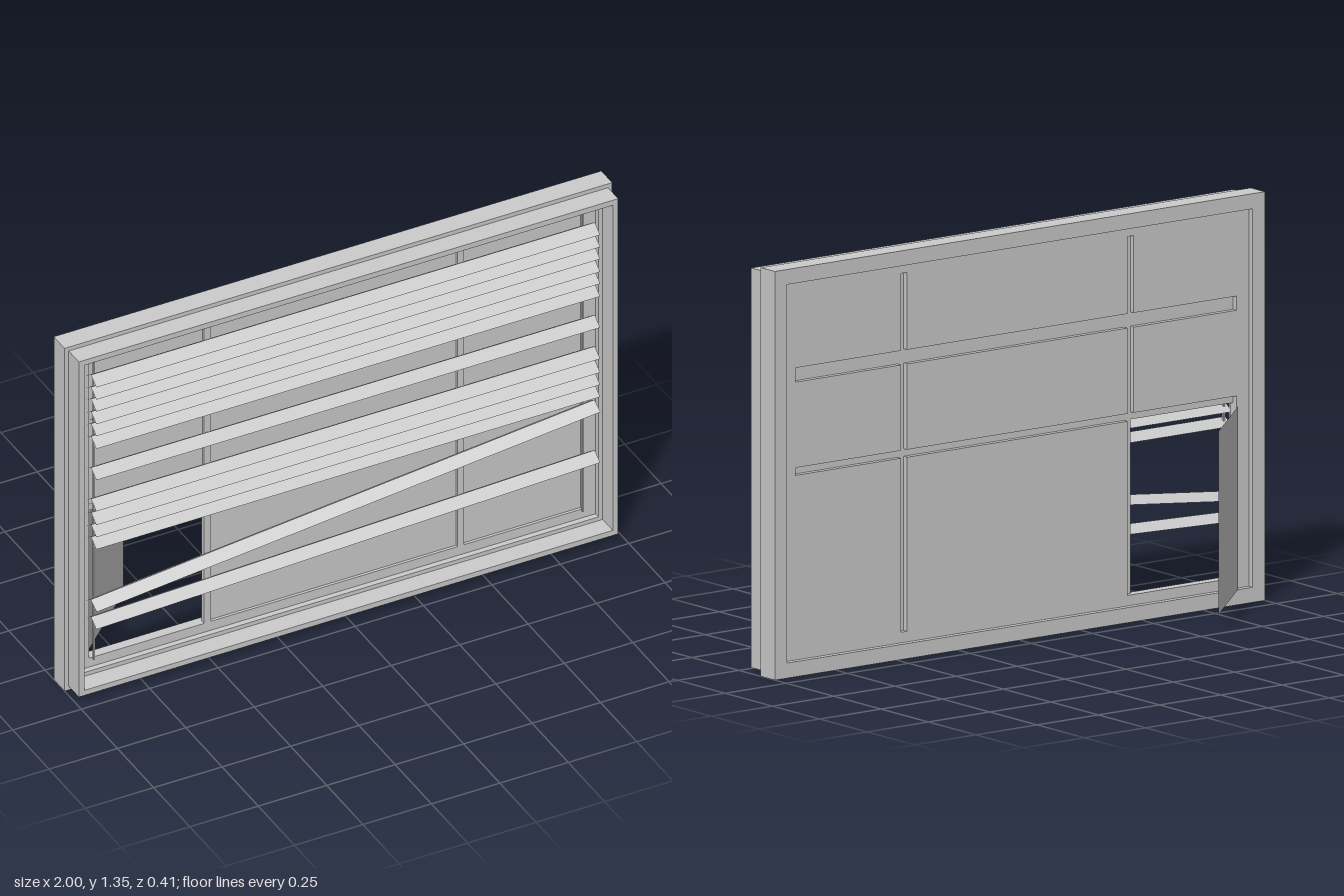
import * as THREE from 'three';

const mat = new THREE.MeshStandardMaterial({ color: 0xcccccc, flatShading: true });
const thin = new THREE.MeshStandardMaterial({ color: 0xcccccc, flatShading: true, side: THREE.DoubleSide });

function add(parent, name, geometry, material = mat) {
  const mesh = new THREE.Mesh(geometry, material);
  mesh.name = name;
  parent.add(mesh);
  return mesh;
}

// Box given by its limits on each axis
function box(parent, name, [x0, x1], [y0, y1], [z0, z1]) {
  const mesh = add(parent, name, new THREE.BoxGeometry(x1 - x0, y1 - y0, z1 - z0));
  mesh.position.set((x0 + x1) / 2, (y0 + y1) / 2, (z0 + z1) / 2);
  return mesh;
}

function rect(Type, halfWidth, y0, y1) {
  return new Type([[-halfWidth, y0], [halfWidth, y0], [halfWidth, y1], [-halfWidth, y1]]
    .map(([x, y]) => new THREE.Vector2(x, y)));
}

// Rectangular ring: outer and inner are [halfWidth, bottom, top]
function ring(parent, name, outer, inner, z0, z1) {
  const shape = rect(THREE.Shape, ...outer);
  shape.holes.push(rect(THREE.Path, ...inner));
  const geometry = new THREE.ExtrudeGeometry(shape, { depth: z1 - z0, bevelEnabled: false });
  geometry.translate(0, 0, z0);
  return add(parent, name, geometry);
}

// Open bent slat with an inverted V section, running along x
function slatGeometry(length) {
  const section = [[-0.013, 0.037], [0.014, 0], [-0.013, -0.037]];
  const positions = [];
  for (const [y, z] of section) positions.push(-length / 2, y, z, length / 2, y, z);
  const geometry = new THREE.BufferGeometry();
  geometry.setAttribute('position', new THREE.Float32BufferAttribute(positions, 3));
  geometry.setIndex([0, 1, 3, 0, 3, 2, 2, 3, 5, 2, 5, 4]);
  geometry.computeVertexNormals();
  return geometry;
}

export function createModel() {
  const model = new THREE.Group();
  model.name = 'windowWithBlind';

  // Frames
  ring(model, 'outerFrame', [1, 0, 1.35], [0.95, 0.05, 1.3], 0.06, 0.135);
  ring(model, 'frontFrame', [0.985, 0.015, 1.335], [0.965, 0.035, 1.315], 0.135, 0.205);
  ring(model, 'sash', [0.95, 0.05, 1.3], [0.9, 0.085, 1.27], 0.08, 0.115);

  // Panes, leaving the lower right cell open
  const columns = [[-0.9, -0.48], [-0.455, 0.445], [0.47, 0.9]];
  const rows = [[0.085, 0.66], [0.685, 0.968], [1.015, 1.27]];
  const panes = new THREE.Group();
  panes.name = 'panes';
  model.add(panes);
  columns.forEach((cx, i) => rows.forEach((ry, j) => {
    if (i > 0 || j > 0) box(panes, 'pane', cx, ry, [0.08, 0.105]);
  }));

  // Glazing bars, set back between the panes
  for (let i = 0; i < 2; i++) {
    box(model, 'mullion', [columns[i][1], columns[i + 1][0]], [0.085, 1.27], [0.098, 0.115]);
    box(model, 'transom', [-0.9, 0.9], [rows[i][1], rows[i + 1][0]], [0.098, 0.106]);
  }

  // Casement panel swung open to the back
  const hinge = new THREE.Group();
  hinge.name = 'openCasement';
  hinge.position.set(-0.89, 0.3525, 0.06);
  hinge.rotation.y = Math.atan2(0.265, 0.285);
  const panelGeometry = new THREE.PlaneGeometry(0.389, 0.605);
  panelGeometry.translate(0.1945, 0, 0);
  add(hinge, 'casementPanel', panelGeometry, thin);
  model.add(hinge);

  // Blind slats: height at the -x end and at the +x end
  const blind = new THREE.Group();
  blind.name = 'blind';
  model.add(blind);
  const level = [1.225, 1.177, 1.13, 1.08, 1.033, 0.983, 0.86, 0.737, 0.683, 0.635, 0.587];
  const slats = [...level.map((y) => [y, y]), [0.34, 0.527], [0.272, 0.328]];
  for (const [yA, yB] of slats) {
    const slat = add(blind, 'slat', slatGeometry(Math.hypot(1.84, yB - yA)), thin);
    slat.position.set(0, (yA + yB) / 2, 0.166);
    slat.rotation.z = Math.atan2(yB - yA, 1.84);
  }

  // Cords carrying the slats
  for (const x of [-0.903, 0.883]) {
    box(blind, 'cord', [x - 0.003, x + 0.003], [0.105, 1.315], [0.15, 0.156]);
  }

  return model;
}
